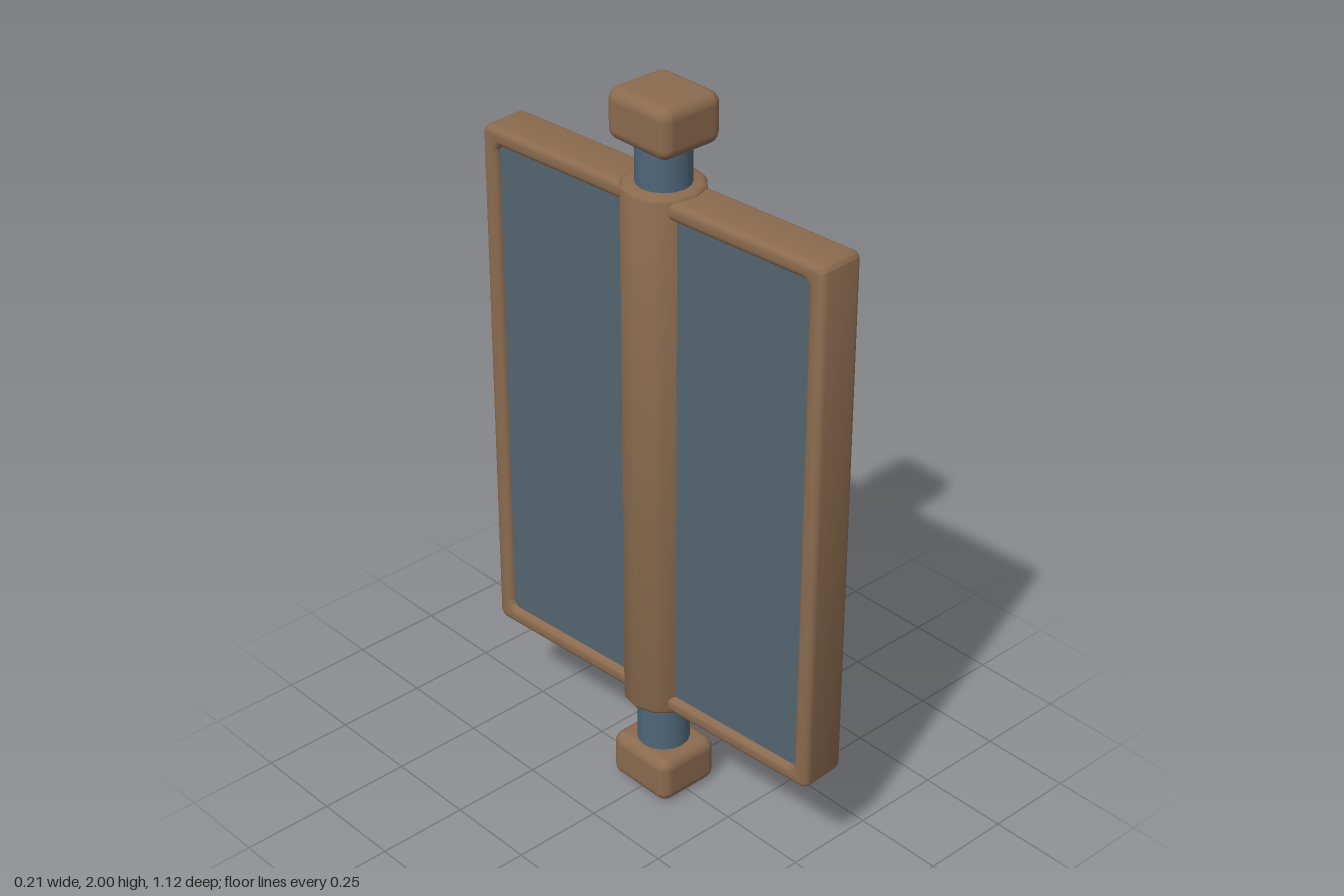
import * as THREE from 'three';
import { toCreasedNormals } from 'three/addons/utils/BufferGeometryUtils.js';
import { RoundedBoxGeometry } from 'three/addons/geometries/RoundedBoxGeometry.js';

const MID = 1.019; // height of the door's centre

// Traces a rounded rectangle (half width w, half height h, corner radius r)
function roundedRect(path, w, h, r) {
  path.moveTo(w, -h + r);
  path.lineTo(w, h - r);
  path.absarc(w - r, h - r, r, 0, Math.PI / 2);
  path.lineTo(-w + r, h);
  path.absarc(-w + r, h - r, r, Math.PI / 2, Math.PI);
  path.lineTo(-w, -h + r);
  path.absarc(-w + r, -h + r, r, Math.PI, Math.PI * 1.5);
  path.lineTo(w - r, -h);
  path.absarc(w - r, -h + r, r, Math.PI * 1.5, Math.PI * 2);
  return path;
}

export function createModel() {
  const brown = new THREE.MeshStandardMaterial({ name: 'brown', color: 0x8b6b4f });
  const steelBlue = new THREE.MeshStandardMaterial({ name: 'steelBlue', color: 0x4f677a });
  const slate = new THREE.MeshStandardMaterial({ name: 'slate', color: 0x53646f });

  const model = new THREE.Group();
  model.name = 'revolvingDoor';
  const add = (parent, name, geometry, material, y = 0) => {
    const mesh = new THREE.Mesh(geometry, material);
    mesh.name = name;
    mesh.position.y = y;
    parent.add(mesh);
    return mesh;
  };

  // Fixed axle with a rounded block at each end
  add(model, 'shaft', new THREE.CylinderGeometry(0.07, 0.07, 1.84, 16), steelBlue, 1);
  const block = new RoundedBoxGeometry(0.19, 0.134, 0.21, 4, 0.032);
  add(model, 'bottomBlock', block, brown, 0.067);
  add(model, 'topBlock', block, brown, 1.933);

  // Turning leaf, swung slightly about the axle
  const leaf = new THREE.Group();
  leaf.name = 'leaf';
  leaf.rotation.y = 0.0625;
  leaf.position.y = MID;
  model.add(leaf);

  // Twelve-sided sleeve with softened rims
  const rim = [[0, 0.745], [0.095, 0.745], [0.1035, 0.7415], [0.107, 0.733]];
  const profile = [
    ...rim.map(([r, y]) => new THREE.Vector2(r, -y)),
    ...rim.slice().reverse().map(([r, y]) => new THREE.Vector2(r, y)),
  ];
  add(leaf, 'sleeve', toCreasedNormals(new THREE.LatheGeometry(profile, 12), 0.9), brown);

  // Rounded frame around both wings
  const bevel = 0.018;
  const thickness = 0.134;
  const outline = roundedRect(new THREE.Shape(), 0.557 - bevel, 0.736 - bevel, 0.006);
  outline.holes.push(roundedRect(new THREE.Path(), 0.508 + bevel, 0.687 + bevel, 0.036));
  const frame = new THREE.ExtrudeGeometry(outline, {
    depth: thickness - 2 * bevel,
    bevelEnabled: true,
    bevelSize: bevel,
    bevelThickness: bevel,
    bevelSegments: 4,
    curveSegments: 5,
  });
  frame.translate(0, 0, bevel - thickness / 2);
  frame.rotateY(Math.PI / 2);
  add(leaf, 'frame', toCreasedNormals(frame, 0.6), brown);

  // Recessed panel filling the frame
  add(leaf, 'panel', new THREE.BoxGeometry(0.104, 1.4, 1.04), slate);

  return model;
}
